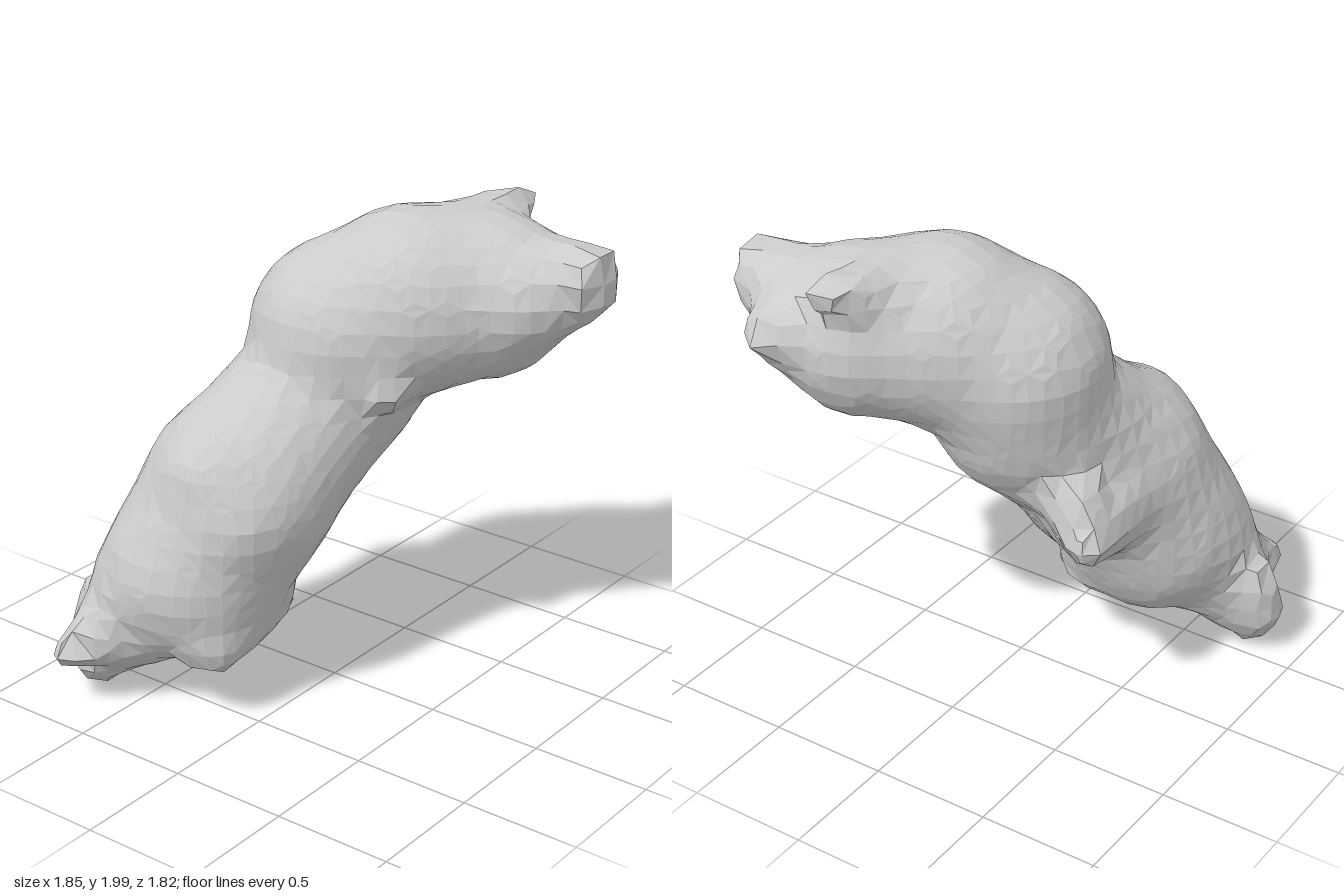
import * as THREE from 'three';

// Rounded limbs of the figure: [start xyz, radius, end xyz, radius]
const LIMBS = [
  [-0.43, 0.56, -0.38, 0.385, -0.28, 0.88, -0.26, 0.39], // hips to waist
  [-0.28, 0.88, -0.26, 0.38, 0.13, 1.28, -0.10, 0.35],   // waist to chest
  [0.13, 1.28, -0.10, 0.35, 0.16, 1.47, -0.07, 0.38],    // chest to shoulders
  [0.16, 1.47, -0.07, 0.38, 0.30, 1.61, 0.15, 0.38],     // shoulders to nape
  [0.30, 1.61, 0.15, 0.37, 0.49, 1.63, 0.38, 0.35],      // nape to head
  [0.10, 1.36, 0.08, 0.21, 0.00, 1.34, 0.24, 0.10],      // right paw
  [-0.46, 1.00, -0.25, 0.21, -0.42, 0.85, -0.18, 0.27],  // right flank
  [0.52, 1.66, 0.50, 0.27, 0.54, 1.79, 0.92, 0.13],      // muzzle
  [0.42, 1.66, 0.58, 0.20, 0.68, 1.66, 0.58, 0.18],      // cheeks
  [0.50, 1.80, 0.25, 0.19, 0.82, 1.93, 0.31, 0.08],      // upper ear
  [0.68, 1.67, 0.50, 0.18, 0.86, 1.70, 0.60, 0.08],      // lower ear
  [-0.05, 0.88, -0.33, 0.31, 0.29, 0.88, -0.51, 0.11],   // left paw
  [0.08, 1.10, -0.15, 0.25, 0.25, 1.00, -0.42, 0.13],    // left shoulder
  [-0.56, 0.34, -0.19, 0.15, -0.26, 0.42, -0.20, 0.16],  // front of the base
  [-0.53, 0.42, -0.53, 0.28, -0.62, 0.12, -0.74, 0.13],  // tail
  [-0.62, 0.34, -0.58, 0.22, -0.86, 0.25, -0.68, 0.08],  // outer tail point
  [-0.57, 0.20, -0.80, 0.12, -0.54, 0.36, -0.80, 0.10],  // rear tail point
];

// Distance to one tapered limb
function limbDistance([ax, ay, az, ra, bx, by, bz, rb], x, y, z) {
  const dx = bx - ax, dy = by - ay, dz = bz - az;
  let t = ((x - ax) * dx + (y - ay) * dy + (z - az) * dz) / (dx * dx + dy * dy + dz * dz);
  t = Math.min(1, Math.max(0, t));
  return Math.hypot(x - ax - t * dx, y - ay - t * dy, z - az - t * dz) - ra - t * (rb - ra);
}

// All limbs blended together, with the muzzle cut flat
function distance(x, y, z) {
  const k = 0.06;
  let d = 10;
  for (const limb of LIMBS) {
    const e = limbDistance(limb, x, y, z);
    const h = Math.max(k - Math.abs(d - e), 0) / k;
    d = Math.min(d, e) - h * h * k / 4;
  }
  return Math.max(d + 0.01, z - 0.91);
}

// Pull a point a short way onto the blended surface
function project(p, limit) {
  const e = 0.02;
  const d = distance(p.x, p.y, p.z);
  const g = new THREE.Vector3(
    distance(p.x + e, p.y, p.z) - distance(p.x - e, p.y, p.z),
    distance(p.x, p.y + e, p.z) - distance(p.x, p.y - e, p.z),
    distance(p.x, p.y, p.z + e) - distance(p.x, p.y, p.z - e)).normalize();
  return p.addScaledVector(g, THREE.MathUtils.clamp(-d, -limit, limit));
}

// Coarse faceted skin: one vertex per crossed grid cell, one quad per crossed grid edge
function skinGeometry(step) {
  const n = Math.ceil(2.5 / step), stride = [1, n, n * n];
  const origin = [-1.25, -0.25, -1.25];
  const at = (i, a) => origin[a] + step * (Math.floor(i / stride[a]) % n);
  const field = new Float32Array(n ** 3);
  for (let i = 0; i < field.length; i++) field[i] = distance(at(i, 0), at(i, 1), at(i, 2));

  const positions = [], index = [], cellVertex = new Map();
  const vertexOf = (cell) => {
    if (cellVertex.has(cell)) return cellVertex.get(cell);
    const sum = new THREE.Vector3();
    let count = 0;
    for (let c = 0; c < 8; c++) {
      for (let a = 0; a < 3; a++) {
        if (c & (1 << a)) continue;
        const p = cell + (c & 1) + (c & 2 ? n : 0) + (c & 4 ? n * n : 0), q = p + stride[a];
        if ((field[p] < 0) === (field[q] < 0)) continue;
        const v = new THREE.Vector3(at(p, 0), at(p, 1), at(p, 2));
        v.setComponent(a, v.getComponent(a) + step * field[p] / (field[p] - field[q]));
        sum.add(v);
        count++;
      }
    }
    const v = project(sum.divideScalar(count), step / 2);
    const id = positions.length / 3;
    positions.push(v.x, v.y, v.z);
    cellVertex.set(cell, id);
    return id;
  };

  for (let p = 0; p < field.length - n * n; p++) {
    for (let a = 0; a < 3; a++) {
      const inside = field[p] < 0;
      if (inside === (field[p + stride[a]] < 0)) continue;
      const b = stride[(a + 1) % 3], c = stride[(a + 2) % 3];
      const q = [p - b - c, p - c, p, p - b].map(vertexOf);
      if (!inside) q.reverse();
      index.push(q[0], q[1], q[2], q[0], q[2], q[3]);
    }
  }
  const geometry = new THREE.BufferGeometry();
  geometry.setAttribute('position', new THREE.Float32BufferAttribute(positions, 3));
  geometry.setIndex(index);
  geometry.computeVertexNormals();
  return geometry;
}

export function createModel() {
  const group = new THREE.Group();
  group.name = 'figure';
  const body = new THREE.Mesh(skinGeometry(0.09),
    new THREE.MeshStandardMaterial({ color: 0xcccccc, flatShading: true }));
  body.name = 'body';
  group.add(body);
  return group;
}
